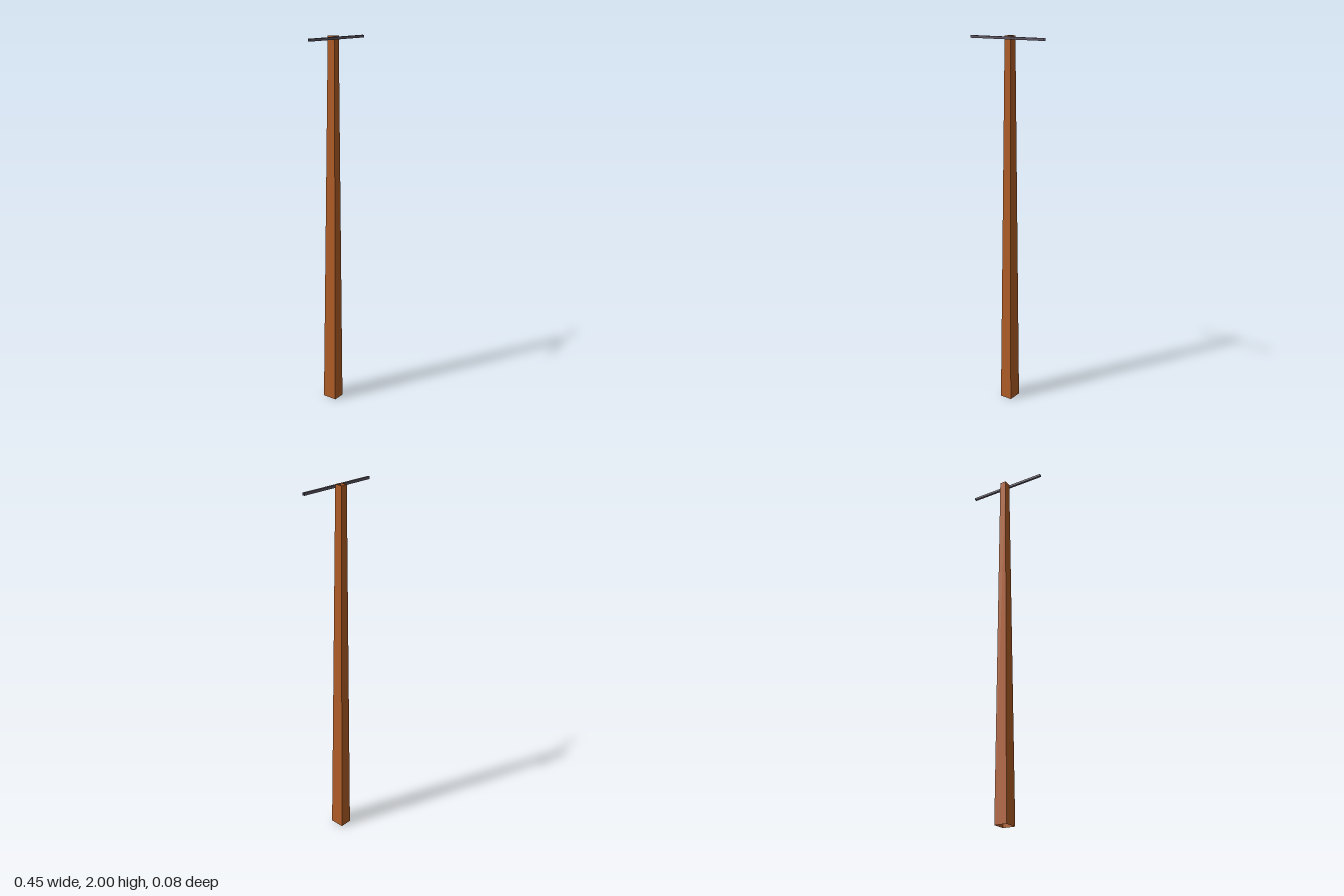
import * as THREE from 'three';

// Open four-sided tube along y; bottom and top half sizes are given as [x, z]
function squareTube(height, bottom, top) {
  const geometry = new THREE.CylinderGeometry(Math.SQRT2, Math.SQRT2, height, 4, 1, true, Math.PI / 4).toNonIndexed();
  const p = geometry.attributes.position;
  for (let i = 0; i < p.count; i++) {
    const half = p.getY(i) > 0 ? top : bottom;
    p.setX(i, Math.sign(p.getX(i)) * half[0]);
    p.setZ(i, Math.sign(p.getZ(i)) * half[1]);
  }
  geometry.computeVertexNormals();
  return geometry;
}

function flatMaterial(name, color) {
  const material = new THREE.MeshStandardMaterial({ color, side: THREE.DoubleSide });
  material.name = name;
  return material;
}

export function createModel() {
  const group = new THREE.Group();
  group.name = 'utilityPole';
  const wood = flatMaterial('brown wood', 0xb05c27);
  const metal = flatMaterial('dark grey metal', 0x5e5763);

  // Tapered hollow post
  const post = new THREE.Mesh(squareTube(2, [0.0345, 0.04], [0.018, 0.021]), wood);
  post.name = 'post';
  post.position.y = 1;
  group.add(post);

  // Thin crossbar on the front of the post top, open at its ends
  const crossbar = new THREE.Mesh(squareTube(0.452, [0.0065, 0.0065], [0.0065, 0.0065]), metal);
  crossbar.name = 'crossbar';
  crossbar.rotation.z = Math.PI / 2;
  crossbar.position.set(-0.001, 1.989, 0.0255);
  group.add(crossbar);

  return group;
}
